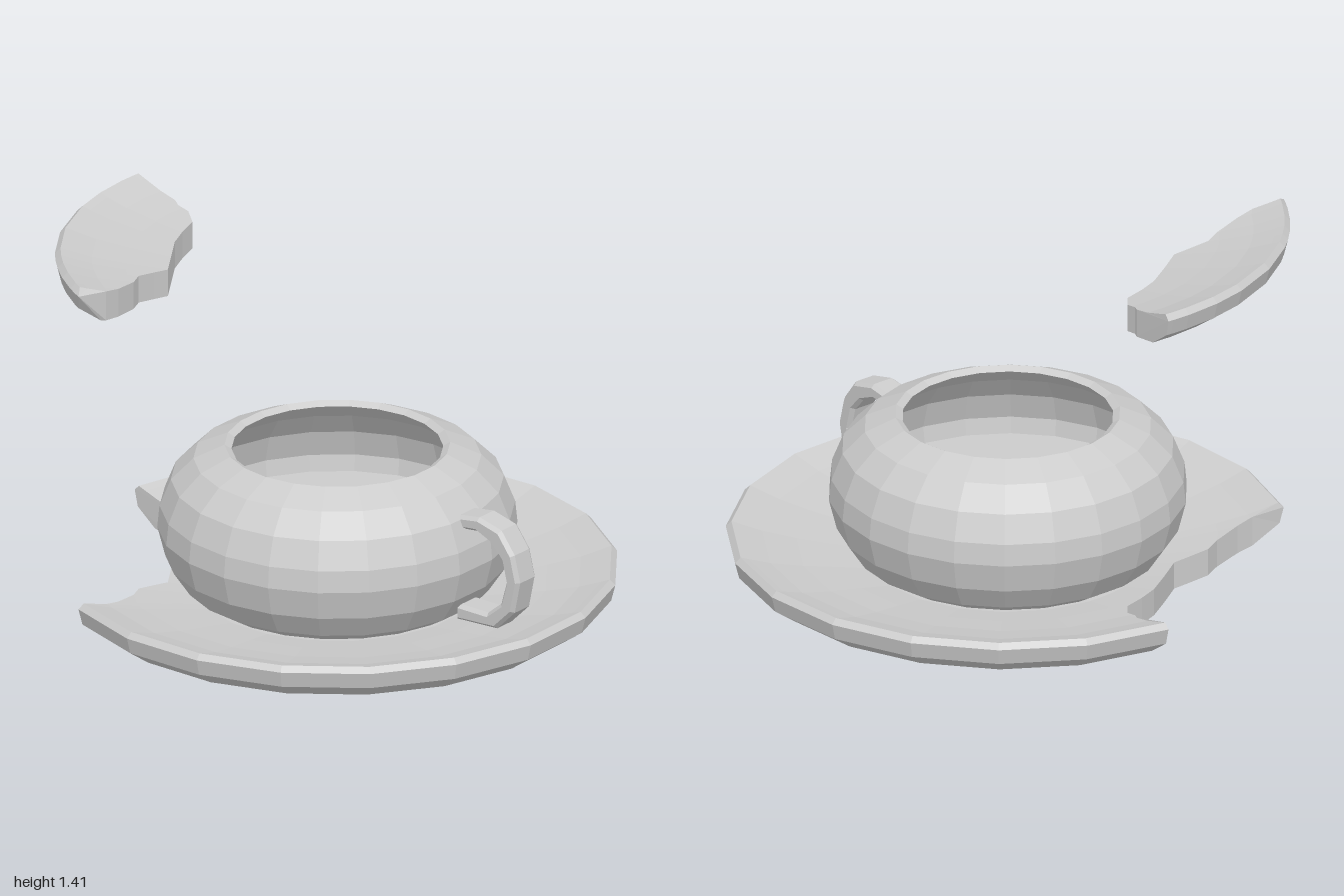
import * as THREE from 'three';

const material = new THREE.MeshStandardMaterial({ color: 0xcccccc, flatShading: true, side: THREE.DoubleSide });

// Saucer profile as [radius, height], from the axis out to the rim
const TOP = [[0, 0.1], [0.5, 0.11], [0.62, 0.13], [0.75, 0.15], [0.87, 0.175], [0.95, 0.2], [0.98, 0.21], [1, 0.19]];
const BOTTOM = [[0, 0], [0.5, 0.01], [0.7, 0.04], [0.9, 0.07], [0.985, 0.13], [1, 0.19]];

// Jagged break as [degrees from -x towards +z, radius]
const BREAK = [[-5.2, 1], [-5.1, 0.8], [-4, 0.77], [-3.9, 0.72], [0, 0.66], [8, 0.64], [16, 0.625], [28, 0.6],
  [39, 0.6], [43, 0.65], [47, 0.71], [52, 0.74], [58, 0.82], [60.5, 0.88], [62.6, 1]];

function heightAt(profile, r) {
  for (let i = 1; i < profile.length; i++) {
    const [r0, y0] = profile[i - 1], [r1, y1] = profile[i];
    if (r <= r1) return y0 + (y1 - y0) * (r - r0) / (r1 - r0);
  }
  return profile[profile.length - 1][1];
}

// Closed cross-section with its radii limited by the break
function section(degrees, limit) {
  const a = THREE.MathUtils.degToRad(degrees);
  const point = (profile) => ([r]) => {
    const q = limit(r);
    return new THREE.Vector3(-q * Math.cos(a), heightAt(profile, q), q * Math.sin(a));
  };
  return [...TOP.map(point(TOP)), ...BOTTOM.slice(0, -1).reverse().map(point(BOTTOM))];
}

// Skin between neighbouring closed sections
function loft(sections) {
  const positions = [];
  const triangle = (a, b, c) => {
    if (new THREE.Triangle(a, b, c).getArea() < 1e-8) return;
    for (const p of [a, b, c]) positions.push(p.x, p.y, p.z);
  };
  for (let j = 0; j < sections.length - 1; j++) {
    const s = sections[j], t = sections[j + 1];
    for (let i = 0; i < s.length; i++) {
      const k = (i + 1) % s.length;
      triangle(s[i], s[k], t[k]);
      triangle(s[i], t[k], t[i]);
    }
  }
  const geometry = new THREE.BufferGeometry();
  geometry.setAttribute('position', new THREE.Float32BufferAttribute(positions, 3));
  geometry.computeVertexNormals();
  return geometry;
}

export function createModel() {
  const model = new THREE.Group();
  const add = (name, geometry) => {
    const mesh = new THREE.Mesh(geometry, material);
    mesh.name = name;
    model.add(mesh);
    return mesh;
  };

  // Saucer with a piece missing
  const saucer = BREAK.map(([deg, rb]) => section(deg, (r) => Math.min(r, rb)));
  const start = BREAK[BREAK.length - 1][0], span = 360 + BREAK[0][0] - start, steps = 16;
  for (let i = 1; i <= steps; i++) saucer.push(section(start + span * i / steps, (r) => r));
  add('saucer', loft(saucer));

  // The broken piece floats straight above its gap
  add('brokenPiece', loft(BREAK.map(([deg, rb]) => section(deg, (r) => Math.max(r, rb))))).position.y = 1.2;

  // Round cup: outside up to the rim, then the inside down to the flat filling
  const cupProfile = [[0, 0.09], [0.45, 0.09], [0.55, 0.15], [0.61, 0.24], [0.638, 0.35], [0.63, 0.43], [0.59, 0.53],
    [0.51, 0.61], [0.4, 0.66], [0.375, 0.645], [0.47, 0.57], [0.54, 0.48], [0.57, 0.38], [0.56, 0.32], [0, 0.32]];
  add('cup', new THREE.LatheGeometry(cupProfile.map(([r, y]) => new THREE.Vector2(r, y)), 22));

  // Flat curved handle
  const outer = [[0.56, 0.54], [0.66, 0.555], [0.76, 0.53], [0.82, 0.45], [0.845, 0.35], [0.82, 0.23], [0.74, 0.15], [0.56, 0.14]];
  const inner = [[0.56, 0.2], [0.7, 0.2], [0.76, 0.25], [0.785, 0.34], [0.765, 0.42], [0.72, 0.47], [0.65, 0.5], [0.56, 0.49]];
  const handleShape = new THREE.Shape([...outer, ...inner].map(([x, y]) => new THREE.Vector2(x, y)));
  const handle = new THREE.ExtrudeGeometry(handleShape, {
    depth: 0.08, bevelEnabled: true, bevelThickness: 0.015, bevelSize: 0.012, bevelOffset: -0.012, bevelSegments: 1,
  });
  add('handle', handle).position.z = -0.065;

  return model;
}
